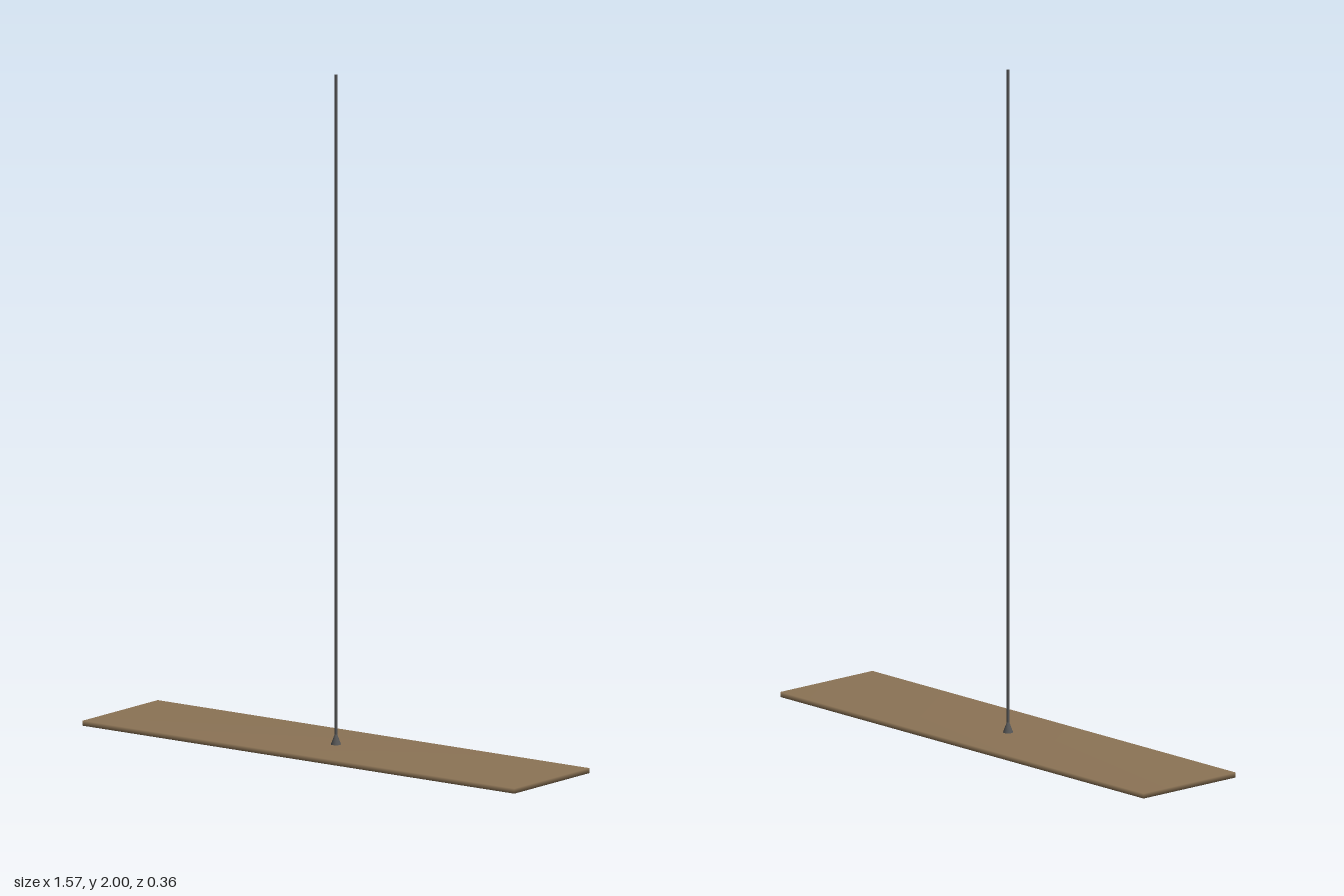
import * as THREE from 'three';
import { mergeVertices } from 'three/addons/utils/BufferGeometryUtils.js';

const WIDTH = 1.57, DEPTH = 0.36, THICK = 0.015, HEIGHT = 2;

// Shares corners between faces so the shading runs smoothly over the edges
function softened(geometry) {
  geometry.deleteAttribute('normal');
  geometry.deleteAttribute('uv');
  const merged = mergeVertices(geometry);
  merged.computeVertexNormals();
  return merged;
}

export function createModel() {
  const group = new THREE.Group();
  const wood = new THREE.MeshStandardMaterial({ color: 0x8b7355 });
  const metal = new THREE.MeshStandardMaterial({ color: 0x555555 });

  const add = (name, geometry, material, y) => {
    const mesh = new THREE.Mesh(geometry, material);
    mesh.name = name;
    mesh.position.y = y;
    group.add(mesh);
  };

  // Flat plank
  add('board', softened(new THREE.BoxGeometry(WIDTH, THICK, DEPTH)), wood, THICK / 2);

  // Small cone fixing the line to the plank
  const coneHeight = 0.04;
  add('anchorCone', new THREE.ConeGeometry(0.015, coneHeight, 12), metal, THICK + coneHeight / 2);

  // Thin upright line
  const lineHeight = HEIGHT - THICK;
  add('line', new THREE.CylinderGeometry(0.004, 0.004, lineHeight, 8), metal, THICK + lineHeight / 2);

  return group;
}
